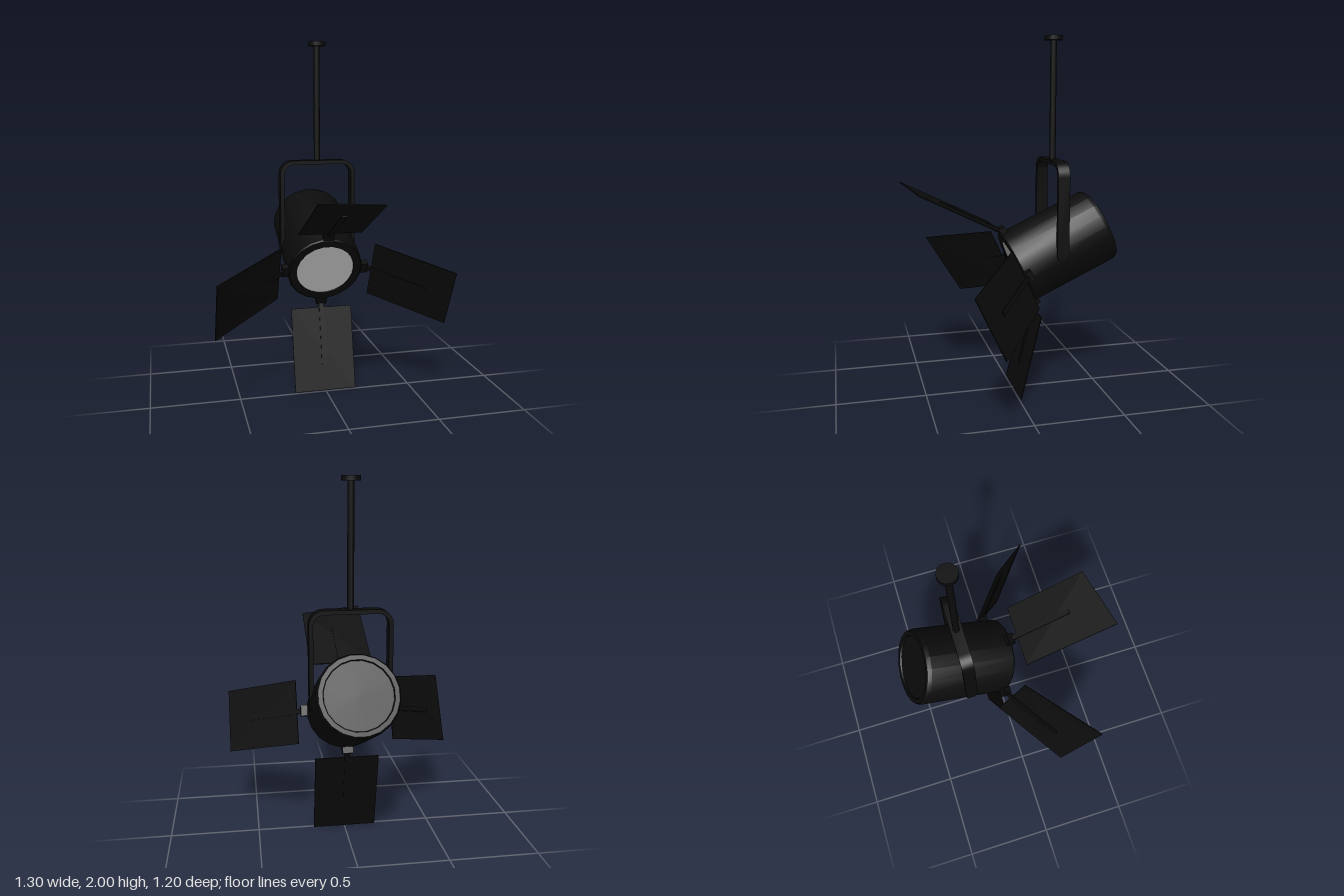
import * as THREE from 'three';
import { toCreasedNormals } from 'three/addons/utils/BufferGeometryUtils.js';

const dark = new THREE.MeshStandardMaterial({ color: 0x0b0b0b, side: THREE.DoubleSide });
const glass = new THREE.MeshStandardMaterial({ color: 0xcccccc, side: THREE.DoubleSide });

function add(parent, name, geometry, material = dark) {
  const mesh = new THREE.Mesh(geometry, material);
  mesh.name = name;
  parent.add(mesh);
  return mesh;
}

// Thin plate between four corners given in order around its edge
function plate(corners, thickness) {
  const [a, b, , d] = corners;
  const n = b.clone().sub(a).cross(d.clone().sub(a)).setLength(thickness / 2);
  const top = corners.map((p) => p.clone().add(n));
  const low = corners.map((p) => p.clone().sub(n));
  const pts = [];
  const quad = (p, q, r, s) => pts.push(p, q, r, p, r, s);
  quad(...top);
  quad(low[3], low[2], low[1], low[0]);
  for (let i = 0; i < 4; i++) {
    const j = (i + 1) % 4;
    quad(low[i], low[j], top[j], top[i]);
  }
  const g = new THREE.BufferGeometry().setFromPoints(pts);
  g.computeVertexNormals();
  return g;
}

// Inverted U strip with rounded upper corners
function yokeGeometry(half, top, bottom, t, radius, depth) {
  const s = new THREE.Shape();
  const inner = half - t, r = radius - t;
  s.moveTo(half, bottom);
  s.lineTo(half, top - radius);
  s.absarc(half - radius, top - radius, radius, 0, Math.PI / 2, false);
  s.absarc(radius - half, top - radius, radius, Math.PI / 2, Math.PI, false);
  s.lineTo(-half, bottom);
  s.lineTo(-inner, bottom);
  s.lineTo(-inner, top - radius);
  s.absarc(radius - half, top - radius, r, Math.PI, Math.PI / 2, true);
  s.absarc(half - radius, top - radius, r, Math.PI / 2, 0, true);
  s.lineTo(inner, bottom);
  const g = new THREE.ExtrudeGeometry(s, { depth, bevelEnabled: false, curveSegments: 6 });
  return toCreasedNormals(g.translate(0, 0, -depth / 2), 0.6);
}

export function createModel() {
  const model = new THREE.Group();
  model.name = 'hangingSpotlight';

  // Ceiling mount, pole and yoke
  const hanger = new THREE.Group();
  hanger.name = 'hanger';
  hanger.position.z = -0.235;
  model.add(hanger);
  add(hanger, 'ceilingCap', new THREE.CylinderGeometry(0.05, 0.05, 0.025, 16)).position.y = 1.9875;
  add(hanger, 'pole', new THREE.CylinderGeometry(0.018, 0.018, 0.67, 12)).position.y = 1.65;
  add(hanger, 'yoke', yokeGeometry(0.222, 1.33, 0.82, 0.023, 0.08, 0.066));
  for (const side of [-1, 1]) {
    const end = add(hanger, 'yokeEnd', new THREE.CylinderGeometry(0.033, 0.033, 0.023, 16));
    end.rotation.z = Math.PI / 2;
    end.position.set(side * 0.2105, 0.82, 0);
  }

  // Lamp head, tilted down
  const head = new THREE.Group();
  head.name = 'lampHead';
  head.position.set(0, 0.727, -0.04);
  head.rotation.x = THREE.MathUtils.degToRad(25);
  model.add(head);

  // Can with a bevelled, recessed back and a front rim
  const profile = [
    [0, -0.513], [0.178, -0.513], [0.182, -0.523], [0.206, -0.523], [0.216, -0.5],
    [0.216, 0.012], [0.208, 0.02], [0.167, 0.02], [0.165, 0.008], [0, 0.008],
  ].map(([r, y]) => new THREE.Vector2(r, y));
  const can = new THREE.LatheGeometry(profile, 20, Math.PI / 20).rotateX(Math.PI / 2);
  add(head, 'can', toCreasedNormals(can, 0.5));
  const lens = new THREE.CylinderGeometry(0.165, 0.165, 0.008, 32).rotateX(Math.PI / 2);
  add(head, 'lens', lens, glass).position.z = 0.011;

  // Four barn doors, each with hinge and arm
  const angle = THREE.MathUtils.degToRad(38.5);
  const out = Math.cos(angle), fwd = Math.sin(angle);
  const names = ['leftDoor', 'topDoor', 'rightDoor', 'bottomDoor'];
  const startR = 0.268, startZ = 0.03, length = 0.485, half = 0.18;
  names.forEach((name, i) => {
    const door = new THREE.Group();
    door.name = name;
    door.rotation.z = (i * Math.PI) / 2;
    head.add(door);

    add(door, 'hinge', new THREE.BoxGeometry(0.04, 0.06, 0.042)).position.set(0.23, 0, 0);

    const arm = add(door, 'arm', new THREE.BoxGeometry(0.38, 0.028, 0.015));
    arm.rotation.y = -angle;
    arm.position.set(startR + 0.145 * out, 0, startZ + 0.145 * fwd);

    const corner = (d, y) => new THREE.Vector3(startR + d * out, y, startZ + d * fwd);
    const corners = [corner(0, -half), corner(length, -half), corner(length, half), corner(0, half)];
    // The top and right doors share one bent outer corner
    if (name === 'topDoor') corners[2].add(new THREE.Vector3(0.055, 0, 0.048));
    if (name === 'rightDoor') corners[1].add(new THREE.Vector3(0, -0.055, 0.048));
    add(door, 'flap', plate(corners, 0.005));
  });

  return model;
}
